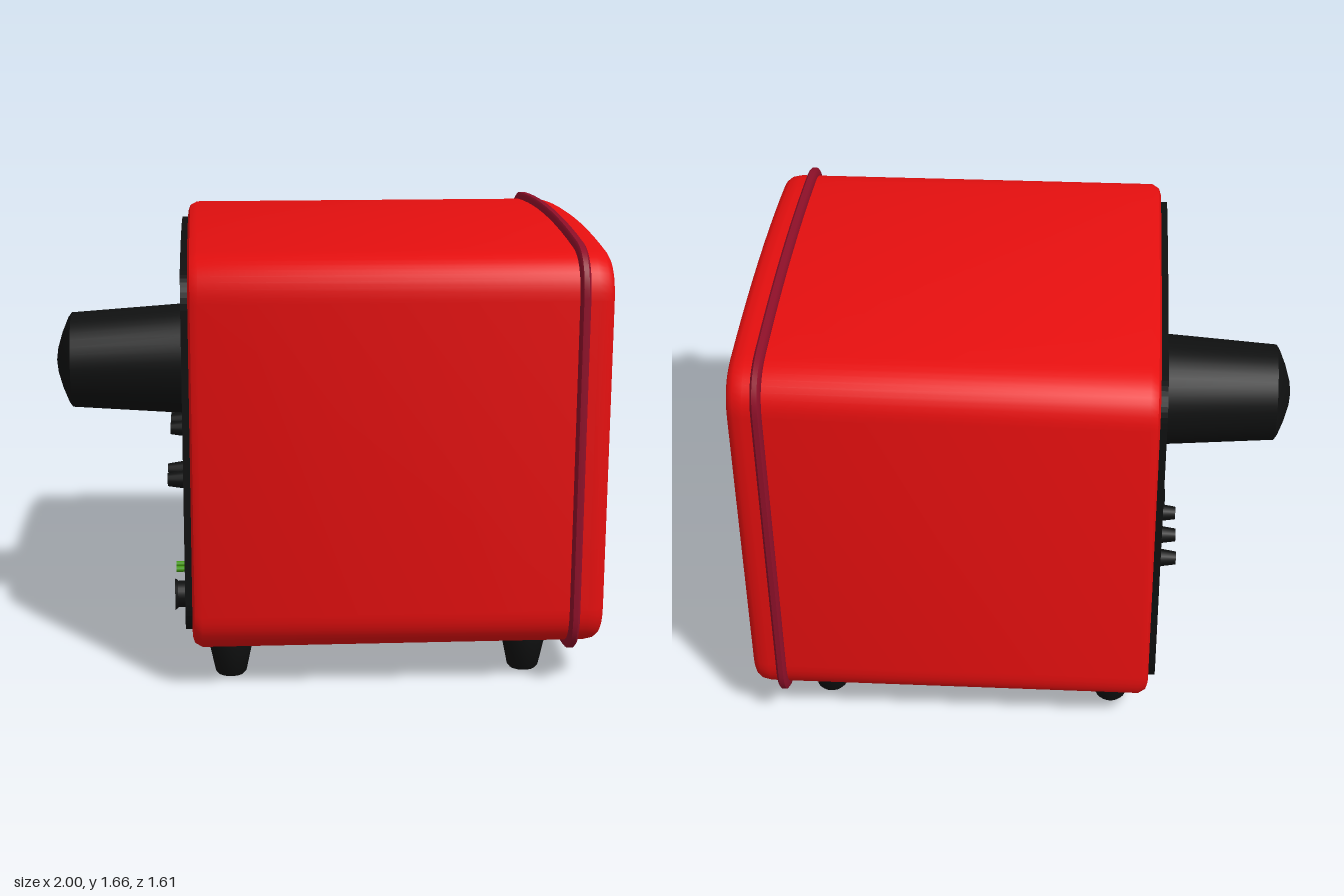
import * as THREE from 'three';
import { toCreasedNormals } from 'three/addons/utils/BufferGeometryUtils.js';

const mat = (color, side = THREE.FrontSide) => new THREE.MeshStandardMaterial({ color, side });
const RED = mat(0xe60f0f), CRIMSON = mat(0x8f1029, THREE.DoubleSide), BLACK = mat(0x0f1010);
const GLASS = mat(0x1e1210), GREEN = mat(0x20720f), LIME = mat(0x40980e);

// Everything is built facing +z and turned to face +x at the end.
const tv = () => new THREE.Group();

// Cabinet outline: bowed top and bottom, rounded corners, shrunk by an inset
function outline(inset, lift = 0) {
  const w = 0.78 - inset, b = 0.11 + inset + lift, t = 1.63 - inset;
  const s = 0.03, r = Math.max(0.06, 0.16 - inset * 0.5), k = (2 * s * r) / (w - r);
  const shape = new THREE.Shape();
  shape.moveTo(w, b + s + r);
  shape.lineTo(w, t - s - r);
  shape.quadraticCurveTo(w, t - s - k, w - r, t - s);
  shape.quadraticCurveTo(0, t + s, r - w, t - s);
  shape.quadraticCurveTo(-w, t - s - k, -w, t - s - r);
  shape.lineTo(-w, b + s + r);
  shape.quadraticCurveTo(-w, b + s + k, r - w, b + s);
  shape.quadraticCurveTo(0, b - s, w - r, b + s);
  shape.quadraticCurveTo(w, b + s + k, w, b + s + r);
  return shape;
}

// Skin through outlines given as [depth, inset, lift]
function loft(sections) {
  const rings = sections.map(([z, inset, lift]) =>
    outline(inset, lift).getPoints(10).map((p) => [p.x, p.y, z]));
  const n = rings[0].length, index = [];
  for (let i = 0; i < rings.length - 1; i++) {
    for (let j = 0; j < n - 1; j++) {
      const a = i * n + j, d = a + n;
      index.push(a, a + 1, d + 1, a, d + 1, d);
    }
  }
  const g = new THREE.BufferGeometry();
  g.setAttribute('position', new THREE.Float32BufferAttribute(rings.flat(2), 3));
  g.setIndex(index);
  return toCreasedNormals(g, 0.65);
}

const extrude = (shape, depth, z, bevel = 0) => new THREE.ExtrudeGeometry(shape, {
  depth, curveSegments: 10, bevelEnabled: bevel > 0, bevelThickness: bevel,
  bevelSize: bevel, bevelOffset: -bevel, bevelSegments: 1,
}).translate(0, 0, z);

const polygon = (pts) => new THREE.Shape(pts.map(([x, y]) => new THREE.Vector2(x, y)));

// Round part along z, from z0 (radius r0) to z1 (radius r1)
const round = (x, y, z0, r0, z1, r1, sides = 24) =>
  new THREE.CylinderGeometry(r1, r0, z1 - z0, sides).rotateX(Math.PI / 2).translate(x, y, (z0 + z1) / 2);

const box = (x0, x1, y0, y1, z0, z1) =>
  new THREE.BoxGeometry(x1 - x0, y1 - y0, z1 - z0).translate((x0 + x1) / 2, (y0 + y1) / 2, (z0 + z1) / 2);

export function createModel() {
  const group = tv();
  const add = (name, geometry, material) => {
    const mesh = new THREE.Mesh(geometry, material);
    mesh.name = name;
    group.add(mesh);
    return mesh;
  };

  // Cabinet shell, trim band and recessed bezel
  add('cabinet', loft([[-0.49, 0.3], [-0.49, 0.035], [-0.482, 0.014], [-0.455, 0],
    [0.94, 0], [0.975, 0.006], [0.993, 0.018], [1, 0.03]]), RED);
  add('trimBand', loft([[0.873, 0], [0.875, -0.018], [0.882, -0.026], [0.9, -0.026],
    [0.908, -0.018], [0.91, 0]]), CRIMSON);
  add('bezel', loft([[1, 0.03], [0.996, 0.045], [0.98, 0.054], [0.95, 0.06], [0.94, 0.075],
    [0.88, 0.088], [0.87, 0.094], [0.865, 0.108], [0.835, 0.122, 0.02]]), CRIMSON);
  add('screen', extrude(outline(0.11), 0.01, 0.832), GLASS);

  // Control panel under the screen
  const panel = new THREE.Shape();
  panel.moveTo(-0.657, 0.53);
  panel.lineTo(-0.652, 0.38);
  panel.quadraticCurveTo(-0.645, 0.282, -0.53, 0.272);
  panel.quadraticCurveTo(0, 0.225, 0.53, 0.272);
  panel.quadraticCurveTo(0.645, 0.282, 0.652, 0.38);
  panel.lineTo(0.657, 0.53);
  add('controlPanel', extrude(panel, 0.015, 0.835), GREEN);
  add('panelRail', box(-0.69, 0.69, 0.522, 0.575, 0.84, 0.885), LIME);
  add('panelRailRidge', box(-0.705, 0.705, 0.538, 0.562, 0.84, 0.9), LIME);

  // Tuning dials
  for (const x of [-0.458, 0.458]) {
    add('dialPlate', round(x, 0.4, 0.85, 0.09, 0.858, 0.09, 32), GREEN);
    add('dialRing', new THREE.TorusGeometry(0.088, 0.01, 8, 32).translate(x, 0.4, 0.857), LIME);
    add('dialKnob', round(x, 0.4, 0.855, 0.066, 0.885, 0.058, 32), LIME);
    add('dialGrip', extrude(polygon([[x - 0.014, 0.338], [x + 0.014, 0.338],
      [x + 0.026, 0.4], [x + 0.01, 0.464], [x - 0.01, 0.464], [x - 0.026, 0.4]]), 0.02, 0.88, 0.006), LIME);
  }
  add('smallKnob', round(0.568, 0.338, 0.85, 0.02, 0.875, 0.017, 16), LIME);

  // Central plaque with slot and two small lamps
  const plaque = polygon([[-0.195, 0.25], [0.195, 0.25], [0.195, 0.3], [0.228, 0.378],
    [-0.228, 0.378], [-0.195, 0.3]]);
  plaque.holes.push(polygon([[-0.165, 0.288], [-0.165, 0.342], [0.165, 0.342], [0.165, 0.288]]));
  add('plaque', extrude(plaque, 0.025, 0.845), LIME);
  add('plaqueSlot', box(-0.165, 0.165, 0.288, 0.342, 0.845, 0.858), GREEN);
  add('plaqueSlotBar', box(-0.15, 0.15, 0.3, 0.33, 0.85, 0.864), LIME);
  add('lampMount', extrude(polygon([[-0.04, 0.378], [0.04, 0.378], [0.028, 0.42],
    [0.04, 0.475], [-0.04, 0.475], [-0.028, 0.42]]), 0.012, 0.845), LIME);
  for (const y of [0.398, 0.446]) {
    add('lampRing', new THREE.TorusGeometry(0.02, 0.006, 8, 20).translate(0, y, 0.862), LIME);
    add('lamp', round(0, y, 0.85, 0.018, 0.864, 0.014, 16), GREEN);
  }

  // Push buttons on the sill, two pressed lower
  [[-0.19, 0.243, 0], [-0.096, 0.238, 0], [0, 0.207, 1], [0.094, 0.243, 0], [0.185, 0.218, 1]]
    .forEach(([x, top, low]) =>
      add('pushButton', box(x - 0.042, x + 0.042, 0.168, top, 0.85, low ? 0.95 : 0.97), LIME));

  // Tapered feet
  const footProfile = [[0, 0], [0.05, 0], [0.058, 0.01], [0.08, 0.115], [0.08, 0.145], [0, 0.145]]
    .map(([r, y]) => new THREE.Vector2(r, y));
  for (const x of [-0.54, 0.54]) {
    for (const z of [-0.35, 0.745]) {
      add('foot', toCreasedNormals(new THREE.LatheGeometry(footProfile, 24).translate(x, 0, z), 0.6), BLACK);
    }
  }

  // Back cover with picture tube housing
  add('backCover', extrude(outline(0.058), 0.03, -0.515), BLACK);
  const tube = [[0, -1], [0.05, -0.993], [0.11, -0.975], [0.165, -0.952], [0.182, -0.94], [0.212, -0.51]]
    .map(([r, y]) => new THREE.Vector2(r, y));
  add('tubeHousing', toCreasedNormals(new THREE.LatheGeometry(tube, 40)
    .rotateX(Math.PI / 2).translate(0, 1.08, 0), 0.6), BLACK);

  // Rear adjusters, sockets and plug
  for (const x of [0.575, 0.44, 0.307, -0.307, -0.44]) {
    add('rearKnob', round(x, 0.72, -0.575, 0.024, -0.51, 0.034, 16), BLACK);
  }
  for (const x of [-0.33, -0.39]) {
    add('rearTerminal', round(x, 0.355, -0.55, 0.011, -0.51, 0.011, 12), LIME);
  }
  add('rearSocket', round(-0.36, 0.245, -0.545, 0.05, -0.51, 0.05), BLACK);
  add('rearSocketRim', round(-0.36, 0.245, -0.556, 0.06, -0.545, 0.052), BLACK);

  group.rotation.y = Math.PI / 2;
  const model = new THREE.Group();
  group.name = 'television';
  model.add(group);
  return model;
}
